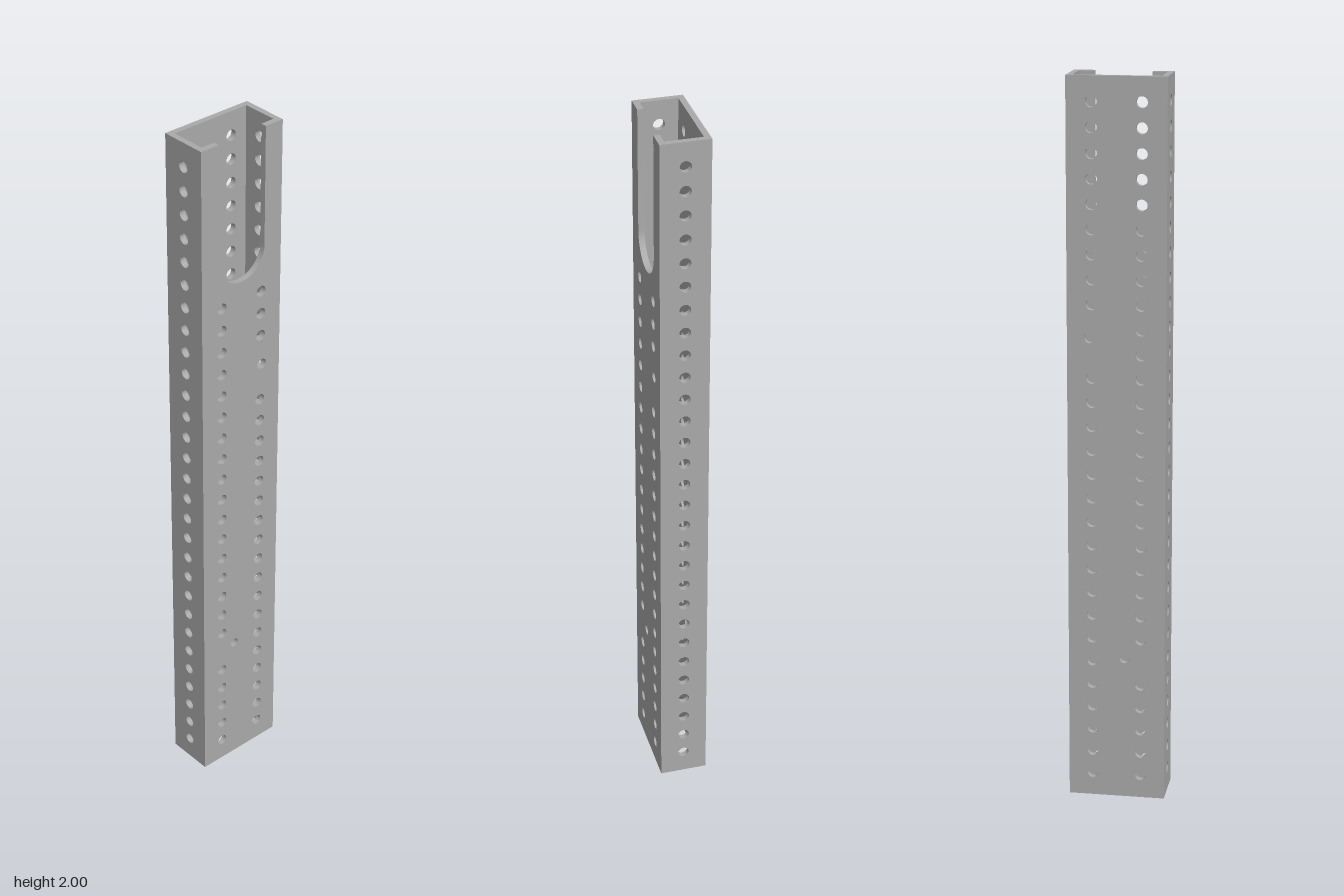
import * as THREE from 'three';
import { toCreasedNormals } from 'three/addons/utils/BufferGeometryUtils.js';

const W = 0.1333, D = 0.0667, H = 2, WALL = 0.0165;
const PITCH = H / 30, HOLE = 0.0155;

const steel = new THREE.MeshStandardMaterial({ color: 0xaaaaaa });
steel.name = 'grey metal';

function punch(shape, x, y, r = HOLE) {
  const hole = new THREE.Path();
  hole.absarc(x, y, r, 0, Math.PI * 2, true);
  shape.holes.push(hole);
}

// Extrudes a plate by the wall thickness, with smooth hole walls and sharp edges
function plate(name, shape) {
  let geo = new THREE.ExtrudeGeometry(shape, { depth: WALL, bevelEnabled: false, curveSegments: 12 });
  geo.scale(100, 100, 100); // keeps small hole edges apart while normals are merged
  geo = toCreasedNormals(geo, 0.6);
  geo.scale(0.01, 0.01, 0.01);
  const mesh = new THREE.Mesh(geo, steel);
  mesh.name = name;
  return mesh;
}

function rectangle(halfWidth) {
  return new THREE.Shape([
    new THREE.Vector2(-halfWidth, 0), new THREE.Vector2(halfWidth, 0),
    new THREE.Vector2(halfWidth, H), new THREE.Vector2(-halfWidth, H),
  ]);
}

// Wide wall outline with a round-bottomed slot open at the top
function slotted() {
  const s = 0.077, cy = 1.665;
  const shape = new THREE.Shape();
  shape.moveTo(-W, 0);
  shape.lineTo(W, 0);
  shape.lineTo(W, H);
  shape.lineTo(s, H);
  shape.lineTo(s, cy);
  shape.absarc(0, cy, s, 0, -Math.PI, true);
  shape.lineTo(-s, H);
  shape.lineTo(-W, H);
  shape.closePath();
  return shape;
}

// Two columns of holes, with gaps around the two odd holes
function punchWide(shape, count) {
  for (let i = 1; i <= count; i++) {
    if (i !== 6) punch(shape, -D, i * PITCH);
    if (i !== 19 && i !== 20) punch(shape, D, i * PITCH);
  }
  punch(shape, 0.072, 1.31, 0.0148);
  punch(shape, -0.022, 0.41, 0.0138);
  return shape;
}

export function createModel() {
  const group = new THREE.Group();
  group.name = 'perforatedTube';

  // Front wall stops its holes below the slot
  const front = plate('frontWall', punchWide(slotted(), 23));
  front.position.z = D - WALL;
  const back = plate('backWall', punchWide(rectangle(W), 29));
  back.position.z = -D;
  group.add(front, back);

  // Side walls fit between front and back
  for (const side of [1, -1]) {
    const shape = rectangle(D - WALL);
    for (let i = 1; i <= 29; i++) punch(shape, 0, i * PITCH);
    const wall = plate(side > 0 ? 'leftWall' : 'rightWall', shape);
    wall.rotation.y = Math.PI / 2;
    wall.position.x = side > 0 ? W - WALL : -W;
    group.add(wall);
  }
  return group;
}
